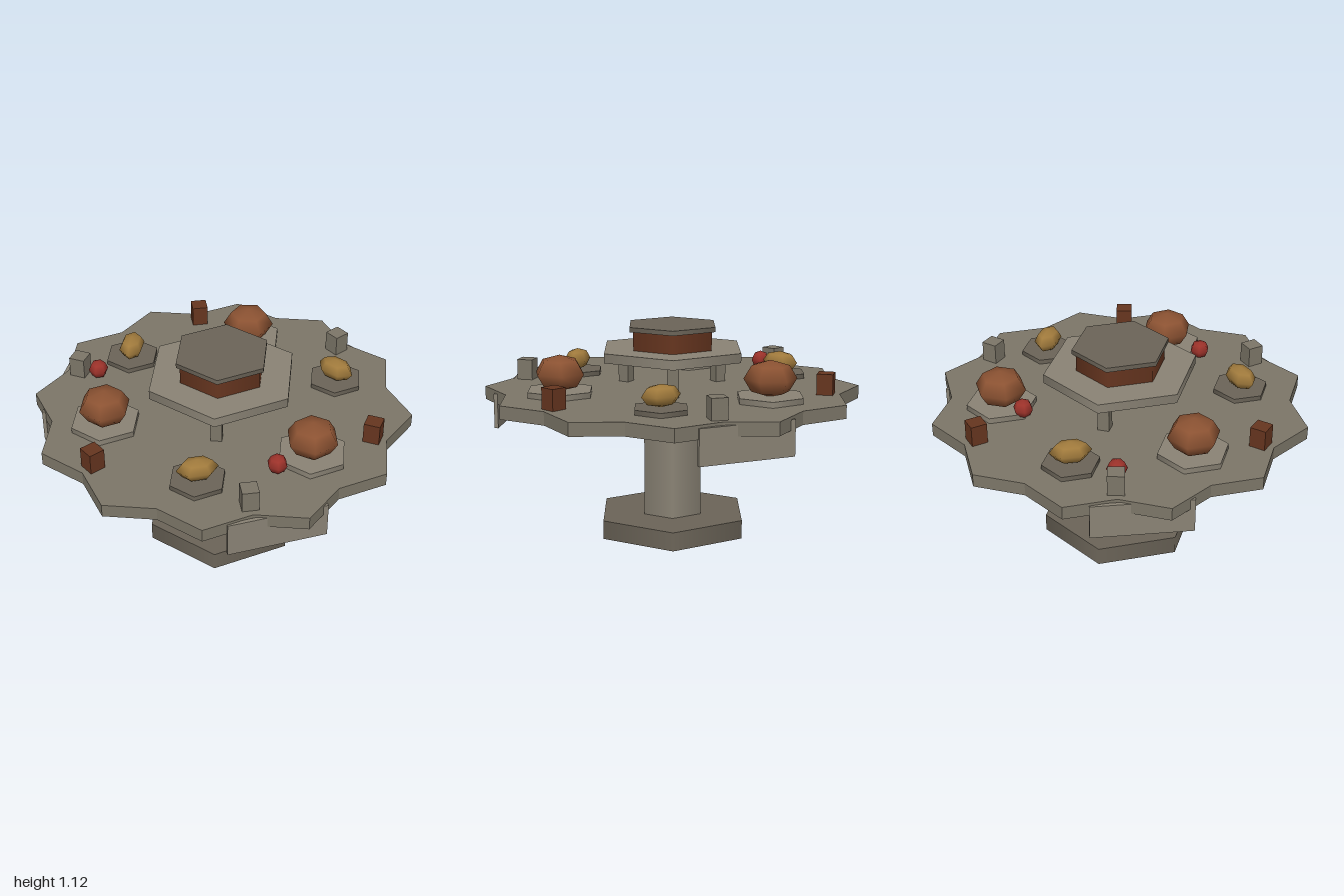
import * as THREE from 'three';

const paint = (color) => new THREE.MeshStandardMaterial({ color });
const stone = paint(0x7c7668);
const darkStone = paint(0x6b6458);
const paleStone = paint(0x8a8375);
const rust = paint(0x66351f);
const crust = paint(0x8b5232);
const gold = paint(0xa07a3c);
const red = paint(0x9c322a);

const TOP = 0.79; // upper face of the table
const rad = THREE.MathUtils.degToRad;

export function createModel() {
  const model = new THREE.Group();

  const add = (name, geometry, material, x, y, z, turn = 0) => {
    const mesh = new THREE.Mesh(geometry, material);
    mesh.name = name;
    mesh.position.set(x, y, z);
    mesh.rotation.y = -rad(turn);
    model.add(mesh);
    return mesh;
  };

  // Six-sided slab between two heights
  const hexSlab = (name, r, y0, y1, material, x = 0, z = 0) =>
    add(name, new THREE.CylinderGeometry(r, r, y1 - y0, 6), material, x, (y0 + y1) / 2, z);

  // Box at an angle (degrees, from +x towards +z) and distance, facing outwards
  const radialBox = (name, size, material, angle, dist, y) =>
    add(name, new THREE.BoxGeometry(...size), material,
      Math.cos(rad(angle)) * dist, y, Math.sin(rad(angle)) * dist, angle);

  // Low-poly rounded lump
  const lump = (name, [rx, ry, rz], material, x, y, z, turn) =>
    add(name, new THREE.SphereGeometry(1, 6, 4), material, x, y, z, turn).scale.set(rx, ry, rz);

  // Foot and column
  hexSlab('base', 0.425, 0, 0.1, darkStone);
  hexSlab('column', 0.174, 0.1, 0.72, paleStone);

  // Twelve-pointed table top
  const points = [];
  for (let i = 0; i < 24; i++) {
    const r = i % 2 ? 0.8966 : 1;
    const a = rad(i * 15);
    points.push(new THREE.Vector2(r * Math.cos(a), r * Math.sin(a)));
  }
  const star = new THREE.ExtrudeGeometry(new THREE.Shape(points), { depth: 0.07, bevelEnabled: false });
  star.rotateX(-Math.PI / 2);
  add('tableTop', star, stone, 0, 0.72, 0);

  // Raised centre tier on three posts
  hexSlab('upperTier', 0.41, 0.95, 1.0, paleStone);
  hexSlab('drum', 0.237, 1.0, 1.1, rust);
  hexSlab('drumCap', 0.258, 1.1, 1.125, darkStone);

  for (let i = 0; i < 3; i++) {
    const step = i * 120;
    radialBox('tierPost', [0.06, 0.16, 0.06], stone, 90 + step, 0.288, 0.87);
    // Hanging panels under the rim
    radialBox('skirtPanel', [0.02, 0.185, 0.51], paleStone, 67.4 + step, 0.905, 0.6825);
    // Blocks around the rim
    radialBox('rustBlock', [0.085, 0.11, 0.085], rust, 15.5 + step, 0.825, TOP + 0.055);
    radialBox('stoneBlock', [0.085, 0.11, 0.085], stone, 75.5 + step, 0.825, TOP + 0.055);
  }

  // Large plates with round loaves: x, z, turn
  for (const [x, z, turn] of [[0.09, -0.62, -2], [0.49, 0.39, 22], [-0.585, 0.225, 30]]) {
    hexSlab('largePlate', 0.185, TOP, 0.82, paleStone, x, z);
    lump('loaf', [0.137, 0.095, 0.137], crust, x, 0.905, z, turn);
  }

  // Small plates with long fruit
  for (const [x, z, turn] of [[-0.06, 0.645, -18], [0.59, -0.27, 35], [-0.535, -0.385, 94]]) {
    hexSlab('smallPlate', 0.148, TOP, 0.815, darkStone, x, z);
    lump('longFruit', [0.107, 0.058, 0.068], gold, x, 0.872, z, turn);
  }

  // Small berries lying on the table
  for (const [x, z, turn] of [[-0.045, -0.53, 0], [0.325, 0.535, 20], [-0.69, -0.19, 40]]) {
    lump('berry', [0.053, 0.05, 0.053], red, x, 0.842, z, turn);
  }

  return model;
}
